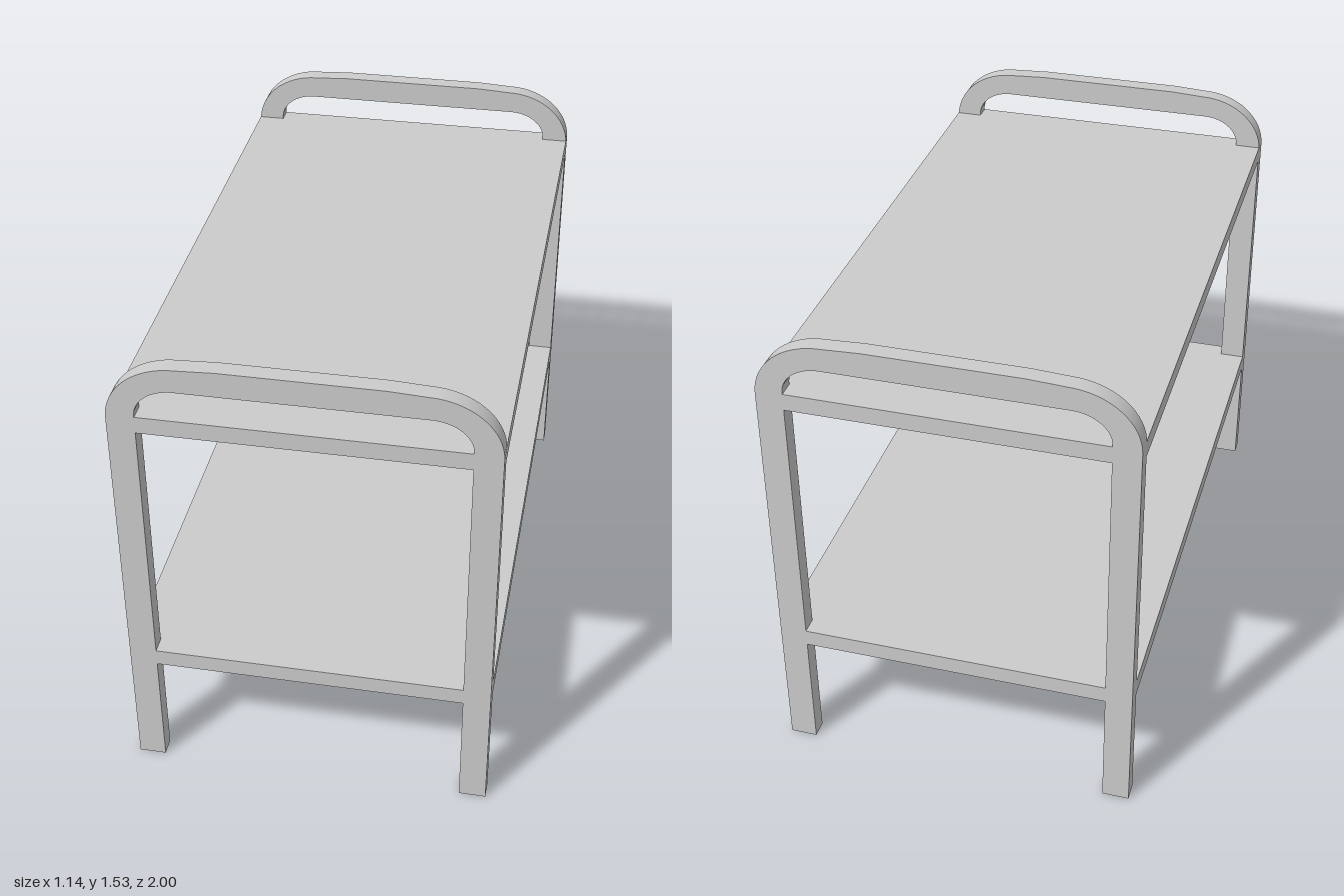
import * as THREE from 'three';
import { toCreasedNormals } from 'three/addons/utils/BufferGeometryUtils.js';

const W = 0.57, INNER = 0.485; // outer and inner half width of the end frames
const D = 1, TUBE = 0.055; // half length, frame depth
const material = new THREE.MeshStandardMaterial({ color: 0xcccccc });

// Inverted U with elliptical corners, legs down to the floor
function frameGeometry() {
  const s = new THREE.Shape();
  s.moveTo(-W, 0);
  s.lineTo(-W, 1.345);
  s.absellipse(-0.355, 1.345, 0.215, 0.184, Math.PI, Math.PI / 2, true);
  s.lineTo(-0.24, 1.535);
  s.lineTo(0.24, 1.535);
  s.lineTo(0.355, 1.529);
  s.absellipse(0.355, 1.345, 0.215, 0.184, Math.PI / 2, 0, true);
  s.lineTo(W, 0);
  s.lineTo(INNER, 0);
  s.lineTo(INNER, 1.36);
  s.absellipse(0.365, 1.36, 0.12, 0.094, 0, Math.PI / 2, false);
  s.lineTo(-0.365, 1.454);
  s.absellipse(-0.365, 1.36, 0.12, 0.094, Math.PI / 2, Math.PI, false);
  s.lineTo(-INNER, 0);
  s.closePath();
  const g = new THREE.ExtrudeGeometry(s, { depth: TUBE, bevelEnabled: false, curveSegments: 8 });
  return toCreasedNormals(g, 0.5);
}

// Board with its four corners notched around the legs
function shelfGeometry() {
  const z = D - TUBE;
  const outline = [
    [-INNER, -D], [INNER, -D], [INNER, -z], [W, -z], [W, z], [INNER, z],
    [INNER, D], [-INNER, D], [-INNER, z], [-W, z], [-W, -z], [-INNER, -z],
  ].map(([x, y]) => new THREE.Vector2(x, y));
  const g = new THREE.ExtrudeGeometry(new THREE.Shape(outline), { depth: 0.055, bevelEnabled: false });
  return g.rotateX(-Math.PI / 2);
}

export function createModel() {
  const group = new THREE.Group();
  group.name = 'twoTierTrolley';
  const add = (name, geometry, y, z) => {
    const mesh = new THREE.Mesh(geometry, material);
    mesh.name = name;
    mesh.position.set(0, y, z);
    group.add(mesh);
  };

  // End frames: legs and handle in one piece
  const frame = frameGeometry();
  add('frontFrame', frame, 0, D - TUBE);
  add('backFrame', frame, 0, -D);

  // Shelves
  const shelf = shelfGeometry();
  add('lowerShelf', shelf, 0.4, 0);
  add('upperShelf', shelf, 1.3, 0);
  return group;
}
